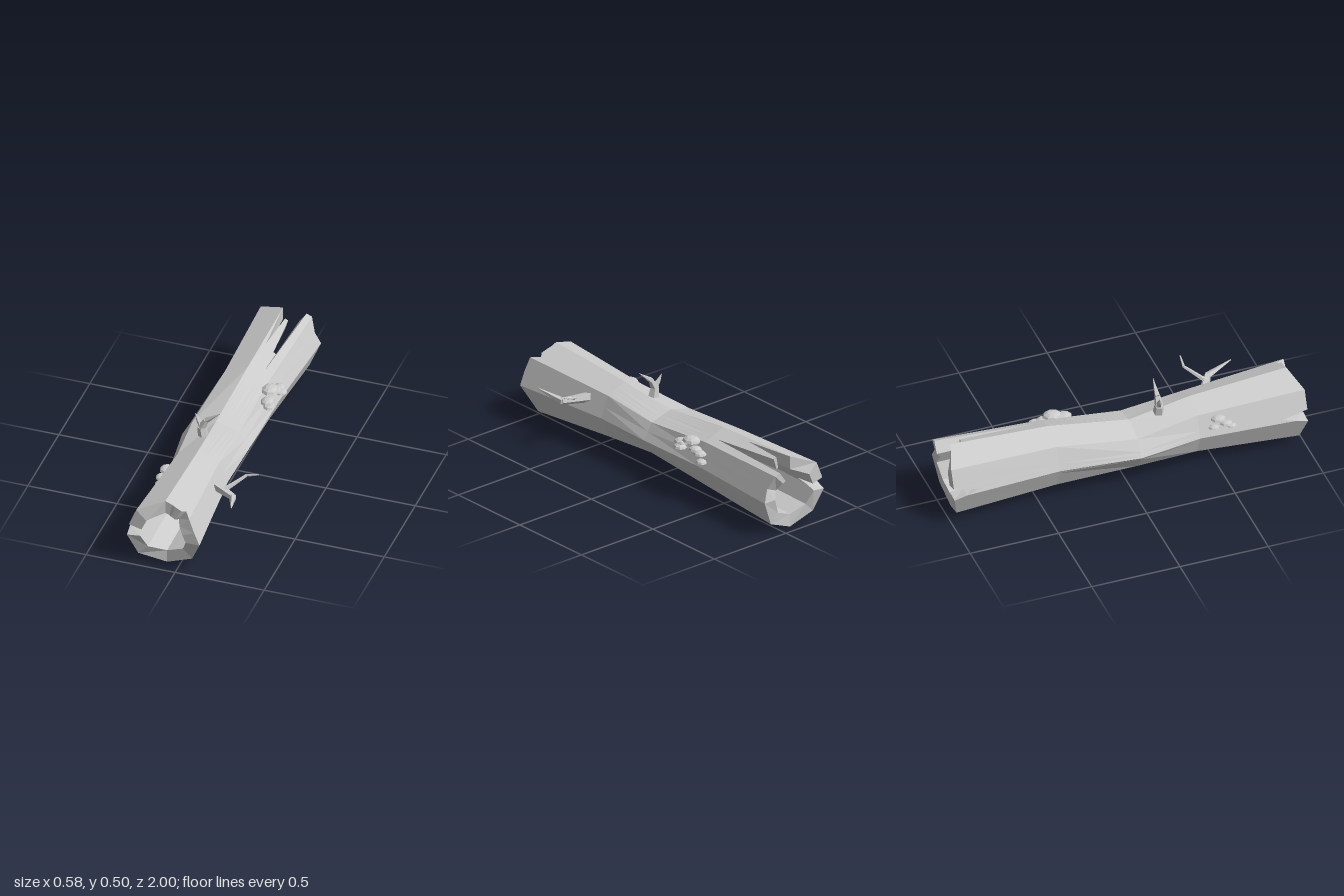
import * as THREE from 'three';

const material = new THREE.MeshStandardMaterial({ color: 0xcccccc, flatShading: true, side: THREE.DoubleSide });

// Cross-sections along the log: z, centre x, centre y, half width, half height
const rings = [
  [1, -0.071, 0.213, 0.208, 0.211],
  [0.4, -0.078, 0.215, 0.165, 0.167],
  [0.05, -0.1, 0.21, 0.19, 0.125],
  [-0.4, -0.078, 0.22, 0.178, 0.176],
  [-1, -0.071, 0.212, 0.203, 0.207],
];

// Split ends: angle in degrees, z of the front rim, z of the back rim
const columns = [
  [0, 1, -0.98], [22, 1, -0.965], [45, 0.99, -1], [54, 0.94, -1],
  [61, 0.96, -0.45], [73, 0.955, -0.88], [79, 0.95, -0.88], [84, 0.95, -0.63],
  [90, 0.95, -0.95], [135, 1, -1], [166, 1, -1], [175, 0.86, -0.86],
  [180, 0.93, -0.93], [186, 1, -1], [225, 0.97, -0.97], [270, 0.92, -0.95], [315, 0.93, -0.96],
];

function sectionAt(z) {
  let i = 0;
  while (i < rings.length - 2 && z < rings[i + 1][0]) i++;
  const a = rings[i], b = rings[i + 1];
  const t = (z - a[0]) / (b[0] - a[0]);
  return a.map((v, k) => v + (b[k] - v) * t);
}

// Point on the octagonal outer or inner wall
function wallPoint(degrees, z, inner) {
  const [, cx, cy, w, h] = sectionAt(z);
  const a = THREE.MathUtils.degToRad(degrees);
  const k = Math.cos(Math.PI / 8) / Math.cos(THREE.MathUtils.degToRad((degrees % 45) - 22.5));
  const rx = inner ? Math.min(0.13, w - 0.02) : w;
  const ry = inner ? Math.min(0.131, h - 0.015) : h;
  return [cx + Math.cos(a) * rx * k, cy + Math.sin(a) * ry * k, z];
}

// Hollow log: each column is a closed loop running back outside and forward inside
function hollowLog() {
  const positions = [], index = [];
  for (const [angle, front, back] of columns) {
    const stations = [front, 0.4, 0.05, -0.4, back];
    stations.forEach((z) => positions.push(...wallPoint(angle, z, false)));
    stations.reverse().forEach((z) => positions.push(...wallPoint(angle, z, true)));
  }
  const n = rings.length * 2, m = columns.length;
  for (let j = 0; j < m; j++) {
    for (let i = 0; i < n; i++) {
      const a = j * n + i, d = j * n + ((i + 1) % n);
      const b = ((j + 1) % m) * n + i, c = ((j + 1) % m) * n + ((i + 1) % n);
      index.push(a, d, b, b, d, c);
    }
  }
  const geometry = new THREE.BufferGeometry();
  geometry.setAttribute('position', new THREE.Float32BufferAttribute(positions, 3));
  geometry.setIndex(index);
  geometry.computeVertexNormals();
  const mesh = new THREE.Mesh(geometry, material);
  mesh.name = 'hollowLog';
  return mesh;
}

// Tapered limb through points [x, y, z, radius]
function limb(name, points) {
  const group = new THREE.Group();
  group.name = name;
  for (let i = 0; i < points.length - 1; i++) {
    const a = new THREE.Vector3(...points[i]), b = new THREE.Vector3(...points[i + 1]);
    const dir = b.clone().sub(a);
    const geometry = new THREE.CylinderGeometry(points[i + 1][3], points[i][3], dir.length(), 5);
    const mesh = new THREE.Mesh(geometry, material);
    mesh.name = name + 'Segment';
    mesh.position.copy(a).add(b).multiplyScalar(0.5);
    mesh.quaternion.setFromUnitVectors(new THREE.Vector3(0, 1, 0), dir.normalize());
    group.add(mesh);
  }
  return group;
}

// Cluster of flat-bottomed bracket fungi, each [x, y, z, radius]
function fungi(name, caps) {
  const group = new THREE.Group();
  group.name = name;
  const profile = [[0, 0], [1, 0], [0.85, 0.35], [0.5, 0.6], [0, 0.68]].map((p) => new THREE.Vector2(...p));
  const geometry = new THREE.LatheGeometry(profile, 8);
  for (const [x, y, z, r] of caps) {
    const cap = new THREE.Mesh(geometry, material);
    cap.name = 'fungusCap';
    cap.position.set(x, y, z);
    cap.scale.set(r * 0.85, r * 0.75, r);
    group.add(cap);
  }
  return group;
}

export function createModel() {
  const model = new THREE.Group();
  model.name = 'fallenLog';
  model.add(hollowLog());

  // Forked twig on top
  model.add(limb('topTwig', [[-0.115, 0.35, 0.21, 0.03], [-0.125, 0.4, 0.21, 0.024], [-0.1, 0.447, 0.21, 0.016], [-0.02, 0.51, 0.215, 0.001]]));
  model.add(limb('topTwigFork', [[-0.12, 0.4, 0.21, 0.02], [-0.145, 0.435, 0.205, 0.012], [-0.165, 0.472, 0.2, 0.001]]));

  // Side branch and its thin offshoot
  model.add(limb('sideBranch', [[0.05, 0.285, 0.53, 0.03], [0.185, 0.275, 0.6, 0.02], [0.228, 0.312, 0.75, 0.003]]));
  model.add(limb('sideOffshoot', [[0.13, 0.29, 0.57, 0.014], [0.22, 0.343, 0.48, 0.008], [0.288, 0.366, 0.485, 0.004]]));

  model.add(fungi('rightFungi', [
    [0.075, 0.332, -0.32, 0.055], [0.085, 0.305, -0.25, 0.045], [0.09, 0.302, -0.37, 0.04],
    [0.095, 0.278, -0.25, 0.04], [0.095, 0.292, -0.41, 0.04], [0.1, 0.252, -0.43, 0.035],
  ]));
  model.add(fungi('leftFungi', [
    [-0.22, 0.3, 0.51, 0.042], [-0.235, 0.272, 0.55, 0.035], [-0.235, 0.262, 0.48, 0.03], [-0.235, 0.25, 0.58, 0.028],
  ]));
  return model;
}
